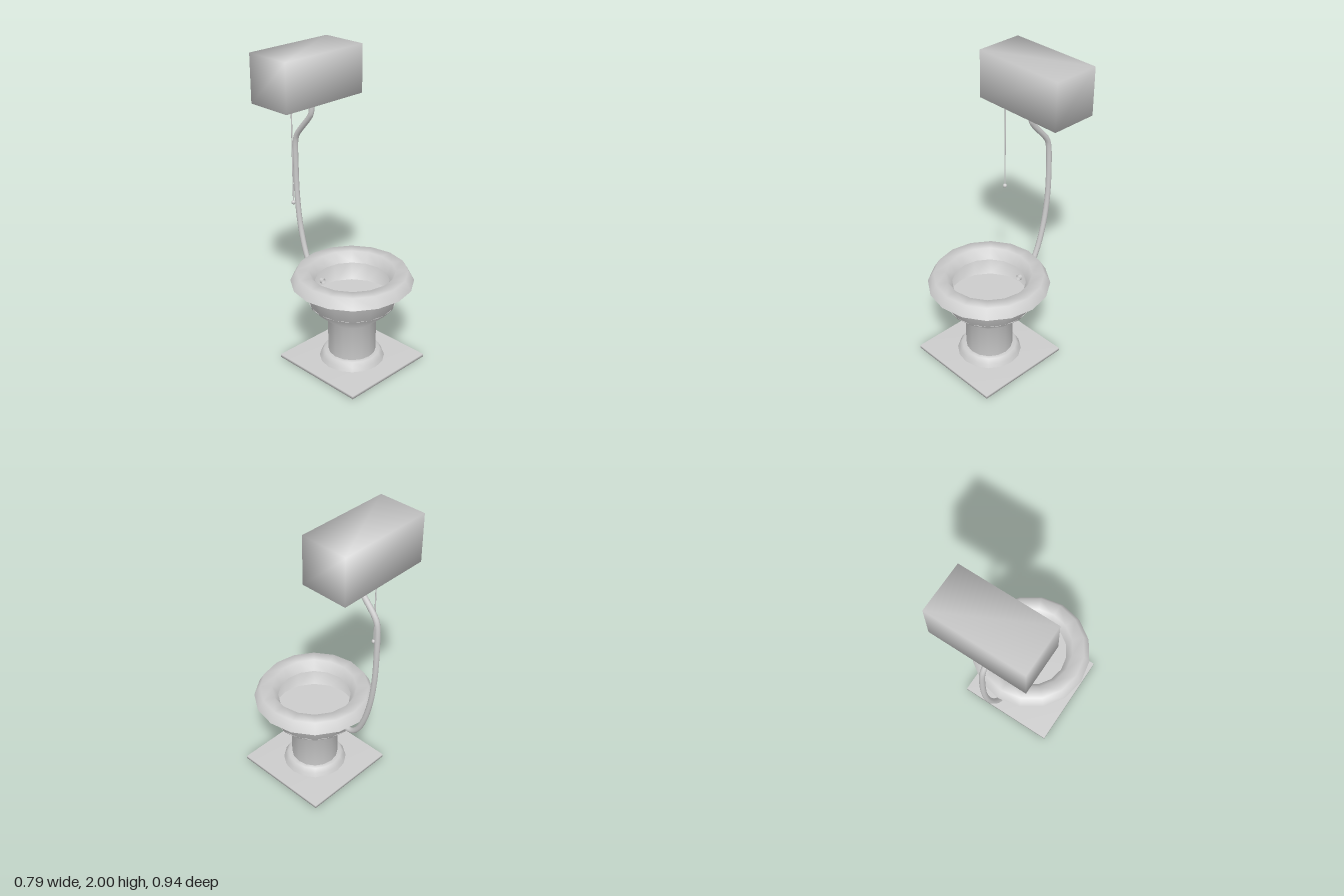
import * as THREE from 'three';
import { mergeVertices } from 'three/addons/utils/BufferGeometryUtils.js';

const material = new THREE.MeshStandardMaterial({ color: 0xcccccc });
const openMaterial = new THREE.MeshStandardMaterial({ color: 0xcccccc, side: THREE.DoubleSide });
const BOWL_Z = 0.073;
const SIDES = 16;

export function createModel() {
  const group = new THREE.Group();

  const add = (name, geometry, x, y, z, mat = material) => {
    const mesh = new THREE.Mesh(geometry, mat);
    mesh.name = name;
    mesh.position.set(x, y, z);
    group.add(mesh);
    return mesh;
  };

  // Box whose corners share averaged normals, giving soft shading
  const softBox = (w, h, d) => {
    const box = new THREE.BoxGeometry(w, h, d);
    box.deleteAttribute('normal');
    box.deleteAttribute('uv');
    const merged = mergeVertices(box);
    merged.computeVertexNormals();
    return merged;
  };

  // Turned part from [radius, height] pairs, listed from bottom to top
  const turned = (profile) =>
    new THREE.LatheGeometry(profile.map(([r, y]) => new THREE.Vector2(r, y)), SIDES);

  // Floor plate
  add('floorPlate', softBox(0.663, 0.02, 0.663), 0, 0.01, BOWL_Z);

  // Flared foot, with a flat top around the column
  add('foot', turned([[0.212, 0.02], [0.2, 0.045], [0.182, 0.075], [0.15, 0.075]]), 0, 0, BOWL_Z, openMaterial);

  // Column widening into the open bowl
  add('bowl', turned([[0.155, 0.02], [0.155, 0.31], [0.275, 0.42], [0.31, 0.58]]), 0, 0, BOWL_Z, openMaterial);

  // Water surface inside the bowl
  const water = new THREE.CircleGeometry(0.277, 32);
  water.rotateX(-Math.PI / 2);
  add('water', water, 0, 0.43, BOWL_Z, openMaterial);

  // Seat: hollow upper half of a coarse ring
  const seatProfile = [];
  for (let i = 0; i <= 3; i++) {
    const a = (i * Math.PI) / 3;
    seatProfile.push([0.315 + 0.078 * Math.cos(a), 0.577 + 0.078 * Math.sin(a) * 0.98]);
  }
  add('seat', turned(seatProfile), 0, 0, BOWL_Z, openMaterial);

  // High-level cistern
  add('cistern', softBox(0.63, 0.31, 0.315), 0, 1.845, -0.312);

  // Flush pipe from the cistern down into the back of the bowl
  const pipePath = new THREE.CatmullRomCurve3([
    [0, 1.72, -0.282], [0, 1.6, -0.284], [0, 1.565, -0.305], [0.002, 1.43, -0.42],
    [0.003, 1.385, -0.436], [0.007, 1.2, -0.443], [0.008, 1.0, -0.437], [0.006, 0.8, -0.41],
    [0.003, 0.62, -0.36], [0, 0.51, -0.305], [0, 0.467, -0.255], [0, 0.465, -0.19],
  ].map((p) => new THREE.Vector3(...p)));
  add('flushPipe', new THREE.TubeGeometry(pipePath, 60, 0.018, 10), 0, 0, 0, openMaterial);

  // Pull chain with a ball at the end
  add('pullChain', new THREE.CylinderGeometry(0.004, 0.004, 0.63, 8), -0.193, 1.39, -0.25);
  add('chainBall', new THREE.SphereGeometry(0.014, 12, 8), -0.193, 1.075, -0.25);

  return group;
}
